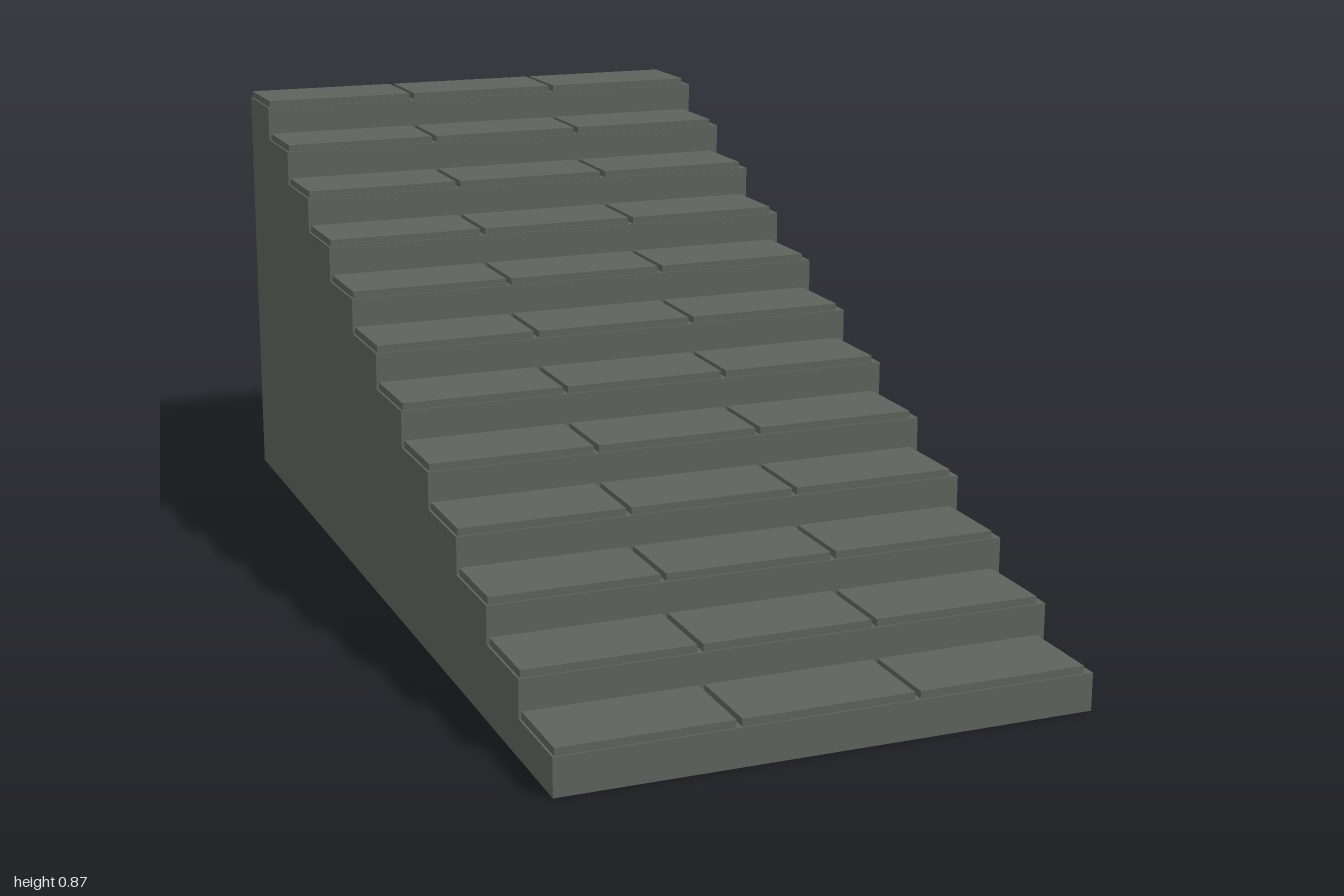
import * as THREE from 'three';

const STEPS = 12, WIDTH = 1, LENGTH = 2, RISE = 0.0711, TREAD = LENGTH / STEPS;
const SLAB_H = 0.0142, SLAB_W = 0.319, SLAB_D = 0.16, SLAB_PITCH = 0.33;

export function createModel() {
  const group = new THREE.Group();
  group.name = 'stoneStairs';
  const stone = new THREE.MeshStandardMaterial({ color: 0x5d645c });
  stone.name = 'grey green stone';

  // Solid stepped body: side profile (shape x runs towards the back) extruded across the width
  const profile = new THREE.Shape();
  profile.moveTo(-LENGTH / 2, 0);
  profile.lineTo(LENGTH / 2, 0);
  profile.lineTo(LENGTH / 2, STEPS * RISE);
  for (let i = STEPS - 1; i >= 0; i--) {
    const front = -LENGTH / 2 + i * TREAD;
    profile.lineTo(front, (i + 1) * RISE);
    if (i > 0) profile.lineTo(front, i * RISE);
  }
  const bodyGeo = new THREE.ExtrudeGeometry(profile, { depth: WIDTH, bevelEnabled: false });
  bodyGeo.translate(0, 0, -WIDTH / 2).rotateY(Math.PI / 2);
  const body = new THREE.Mesh(bodyGeo, stone);
  body.name = 'steppedBody';
  group.add(body);

  // Three paving slabs on every tread, with narrow gaps between them
  const slabGeo = new THREE.BoxGeometry(SLAB_W, SLAB_H, SLAB_D);
  for (let i = 0; i < STEPS; i++) {
    const row = new THREE.Group();
    row.name = `treadSlabs${i + 1}`;
    row.position.set(0, (i + 1) * RISE + SLAB_H / 2, LENGTH / 2 - (i + 0.5) * TREAD);
    for (let j = 0; j < 3; j++) {
      const slab = new THREE.Mesh(slabGeo, stone);
      slab.name = 'slab';
      slab.position.x = -0.496 + SLAB_W / 2 + j * SLAB_PITCH;
      row.add(slab);
    }
    group.add(row);
  }
  return group;
}
